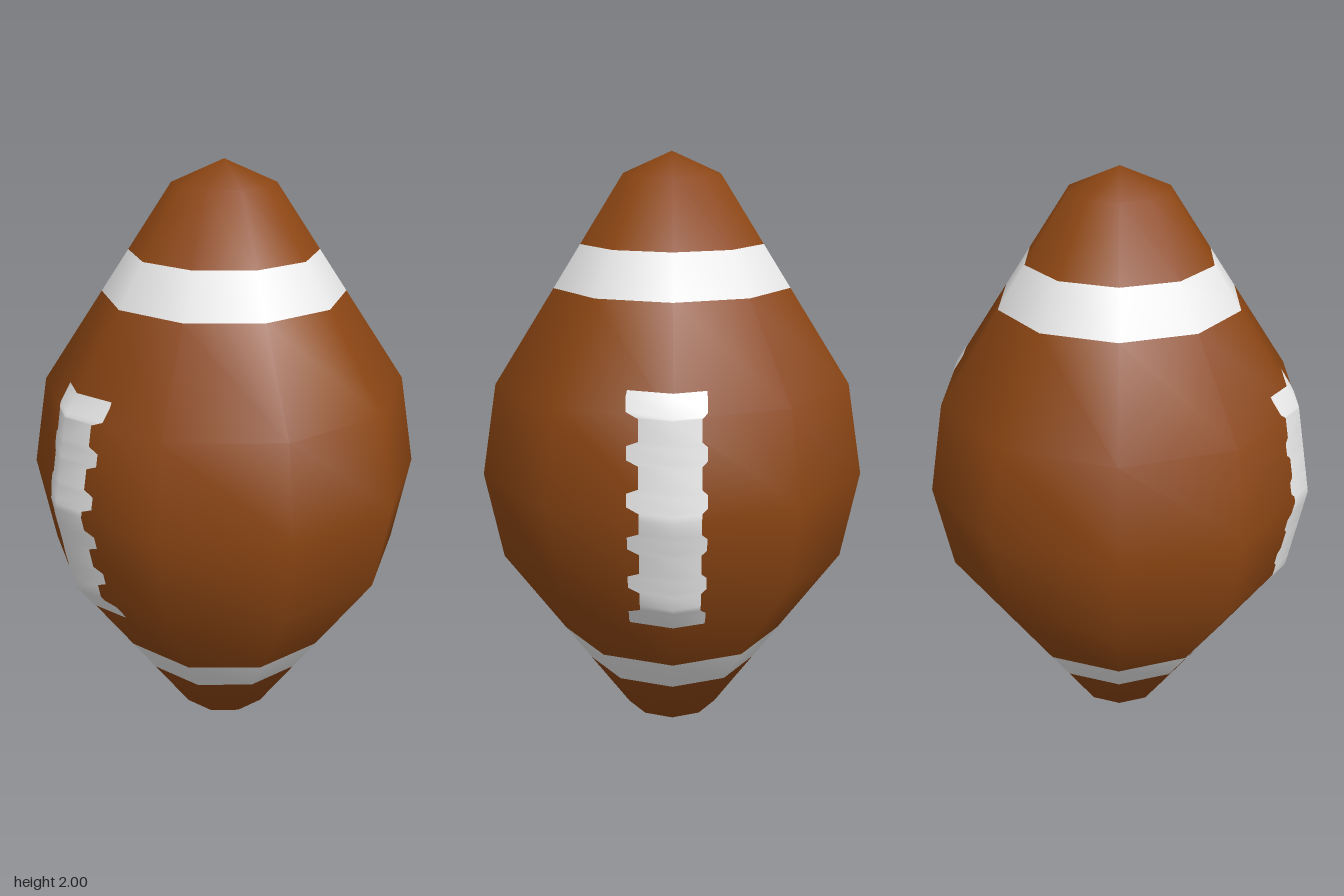
import * as THREE from 'three';

const SIDES = 10;
// radius at each height of the faceted body, bottom to top
const PROFILE = [[0, 0], [0.163, 0.07], [0.589, 0.705], [0.642, 1], [0.589, 1.295], [0.163, 1.93], [0, 2]];
const BANDS = [[0.275, 0.405], [1.59, 1.723]];

const leather = new THREE.MeshStandardMaterial({ color: 0x8b4513 });
leather.name = 'brown leather';
const white = new THREE.MeshStandardMaterial({ color: 0xffffff });
white.name = 'white paint';

// smooth profile normals (radial, vertical) at the main rings
const NORMALS = PROFILE.map((p, i) => {
  if (i === 0) return new THREE.Vector2(0, -1);
  if (i === PROFILE.length - 1) return new THREE.Vector2(0, 1);
  const edge = (a, b) => new THREE.Vector2(b[1] - a[1], a[0] - b[0]).normalize();
  return edge(PROFILE[i - 1], p).add(edge(p, PROFILE[i + 1])).normalize();
});

// radius and normal of the body at any height
function ringAt(y) {
  let i = 0;
  while (i < PROFILE.length - 2 && y > PROFILE[i + 1][1]) i++;
  const [r0, y0] = PROFILE[i], [r1, y1] = PROFILE[i + 1];
  const t = (y - y0) / (y1 - y0);
  return { r: r0 + (r1 - r0) * t, n: NORMALS[i].clone().lerp(NORMALS[i + 1], t).normalize() };
}

// body section between two heights, sharing normals with its neighbours
function section(name, from, to, material) {
  const heights = [from, ...PROFILE.map(p => p[1]).filter(y => y > from && y < to), to];
  const rings = heights.map(ringAt);
  const geo = new THREE.LatheGeometry(rings.map((g, i) => new THREE.Vector2(g.r, heights[i])), SIDES);
  for (let s = 0; s <= SIDES; s++) {
    const a = (s / SIDES) * Math.PI * 2;
    rings.forEach(({ n }, j) => geo.attributes.normal.setXYZ(
      s * rings.length + j, n.x * Math.sin(a), n.y, n.x * Math.cos(a)));
  }
  const mesh = new THREE.Mesh(geo, material);
  mesh.name = name;
  return mesh;
}

// scalloped lace patch folded over the front (side 1) or back (side -1) edge
function lacing(name, side) {
  const top = 1.36, bottom = 0.615;
  const stitches = Array.from({ length: 6 }, (_, i) => 1.325 - i * 0.135);
  const rows = [1.295, 1, 0.705];
  stitches.forEach(c => rows.push(c + 0.035, c + 0.02, c - 0.02, c - 0.035));
  rows.sort((a, b) => b - a);

  const fold = Math.tan(Math.PI / SIDES);
  const pos = [], index = [];
  rows.forEach((y, i) => {
    const d = Math.min(...stitches.map(c => Math.abs(y - c)));
    const atEnd = y > top - 0.002 || y < bottom + 0.002;
    const bump = atEnd ? 0.9 : THREE.MathUtils.clamp((0.035 - d) / 0.015, 0, 1);
    for (const x of [-0.083 - 0.016 * bump, 0, 0.1 + 0.035 * bump]) {
      pos.push(x, y, side * (ringAt(y).r - Math.abs(x) * fold + 0.003));
    }
    if (i === 0) return;
    for (let k = 0; k < 2; k++) {
      const a = (i - 1) * 3 + k, b = a + 1, c = a + 3, e = a + 4;
      if (side > 0) index.push(a, c, b, b, c, e);
      else index.push(a, b, c, b, e, c);
    }
  });
  const geo = new THREE.BufferGeometry();
  geo.setAttribute('position', new THREE.Float32BufferAttribute(pos, 3));
  geo.setIndex(index);
  geo.computeVertexNormals();
  const mesh = new THREE.Mesh(geo, white);
  mesh.name = name;
  return mesh;
}

export function createModel() {
  const ball = new THREE.Group();
  ball.name = 'ball';
  const [low, high] = BANDS;
  ball.add(
    section('lowerTip', 0, low[0], leather),
    section('lowerStripe', low[0], low[1], white),
    section('middle', low[1], high[0], leather),
    section('upperStripe', high[0], high[1], white),
    section('upperTip', high[1], 2, leather),
    lacing('frontLacing', 1),
    lacing('backLacing', -1),
  );
  return ball;
}
